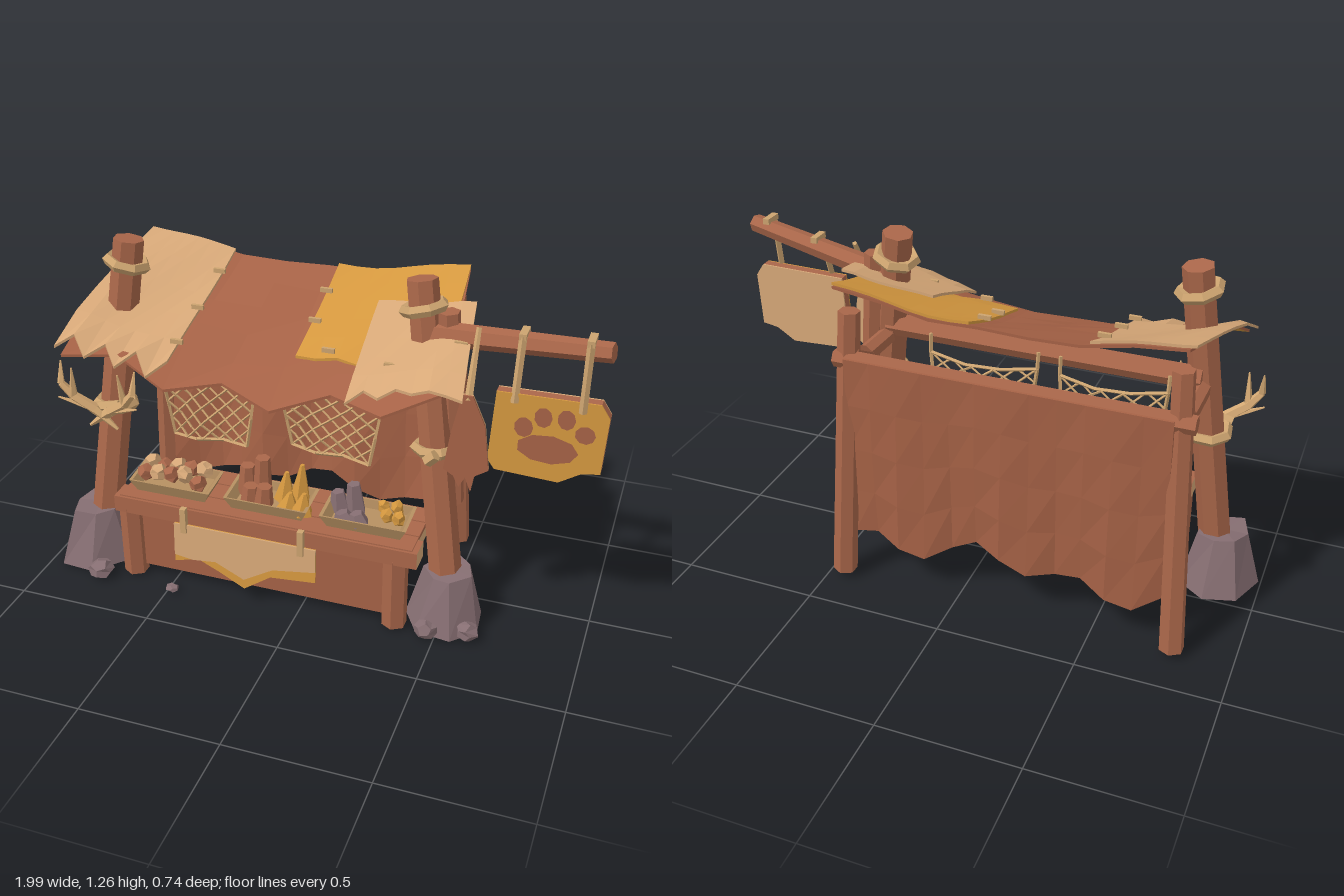
import * as THREE from 'three';

const V = (x, y, z) => new THREE.Vector3(x, y, z);
const mat = (name, color) => Object.assign(new THREE.MeshStandardMaterial({ color }), { name });

export function createModel() {
  const root = new THREE.Group();
  root.name = 'marketStall';
  const wood = mat('wood', 0xaa674a), cloth = mat('brownCloth', 0xa66246), hide = mat('paleHide', 0xd7a878);
  const gold = mat('goldCloth', 0xd5983f), stone = mat('stone', 0x866e72), rope = mat('rope', 0xcca36f);
  const straw = mat('straw', 0xb48e60), bone = mat('bone', 0xd6aa74);

  let seed = 7;
  const rnd = () => (seed = (seed * 16807) % 2147483647) / 2147483647;

  // Faceted mesh
  function add(name, geo, material, parent = root) {
    const g = geo.index ? geo.toNonIndexed() : geo;
    g.computeVertexNormals();
    const m = new THREE.Mesh(g, material);
    m.name = name;
    parent.add(m);
    return m;
  }
  // Tapered log between two points
  function beam(name, a, b, r0, r1 = r0, material = wood, sides = 6) {
    const m = add(name, new THREE.CylinderGeometry(r1, r0, a.distanceTo(b), sides), material);
    m.position.lerpVectors(a, b, 0.5);
    m.quaternion.setFromUnitVectors(V(0, 1, 0), b.clone().sub(a).normalize());
    return m;
  }
  function box(name, x0, x1, y0, y1, z0, z1, material) {
    const m = add(name, new THREE.BoxGeometry(x1 - x0, y1 - y0, z1 - z0), material);
    m.position.set((x0 + x1) / 2, (y0 + y1) / 2, (z0 + z1) / 2);
    return m;
  }
  // Flat outline with a thickness
  function plate(name, pts, z, depth, material, parent = root) {
    const shape = new THREE.Shape(pts.map(p => new THREE.Vector2(p[0], p[1])));
    const m = add(name, new THREE.ExtrudeGeometry(shape, { depth, bevelEnabled: false }), material, parent);
    m.position.z = z;
    return m;
  }
  // Move every vertex of a geometry by a rule
  function warp(geo, rule) {
    const p = geo.attributes.position, v = V(0, 0, 0);
    for (let i = 0; i < p.count; i++) {
      rule(v.fromBufferAttribute(p, i));
      p.setXYZ(i, v.x, v.y, v.z);
    }
    return geo;
  }
  function rock(name, x, y, z, r, material, h = r) {
    const a = rnd() * 6;
    const m = add(name, warp(new THREE.DodecahedronGeometry(1, 0),
      v => v.multiplyScalar(1 + 0.1 * Math.sin(v.x * 5 + v.y * 7 + v.z * 3 + a))), material);
    m.scale.set(r, h, r);
    m.rotation.y = a;
    m.position.set(x, y, z);
  }

  // Leaning front posts with rope bands and stone feet
  const posts = [[V(-0.83, 0.1, 0.15), V(-0.69, 1.25, 0.055)], [V(0.51, 0.1, 0.15), V(0.34, 1.225, 0.012)]];
  posts.forEach(([a, b], i) => {
    beam('frontPost', a, b, 0.06, 0.054, wood, 7);
    for (const [y, tilt] of i ? [[0.65, 0.1], [1.13, -0.12]] : [[0.63, -0.1], [1.165, 0.12]]) {
      const ring = add('postRope', new THREE.TorusGeometry(0.066, 0.021, 5, 7), rope);
      ring.position.lerpVectors(a, b, (y - a.y) / (b.y - a.y));
      ring.quaternion.setFromUnitVectors(V(0, 0, 1), b.clone().sub(a).normalize());
      ring.rotateY(tilt);
    }
    const foot = add('stoneFoot', warp(new THREE.CylinderGeometry(0.095, 0.158, 0.21, 7), v => {
      v.x += 0.012 * Math.sin(v.z * 40); v.y += 0.008 * Math.sin(v.x * 30) * (v.y > 0 ? 1 : 0);
    }), stone);
    foot.position.set(i ? 0.515 : -0.848, 0.105, 0.148);
    foot.scale.set(i ? 0.88 : 1.1, 1, 0.9);
    foot.rotation.y = i ? 0.3 : 1.2;
  });
  beam('ropeKnot', V(0.42, 0.64, 0.17), V(0.45, 0.67, 0.17), 0.022, 0.022, rope, 5);
  rock('looseStone', -0.77, 0.03, 0.32, 0.05, stone, 0.035);
  rock('looseStone', 0.61, 0.03, 0.24, 0.045, stone, 0.035);
  rock('looseStone', 0.47, 0.03, 0.28, 0.04, stone, 0.035);
  rock('looseStone', -0.48, 0.012, 0.325, 0.024, stone, 0.013);

  // Back posts, cross beams and bent side beams
  for (const [x0, x1, xf] of [[-0.79, -0.74, -0.74], [0.44, 0.39, 0.4]]) {
    beam('backPost', V(x0, 0.02, -0.33), V(x1, 1.05, -0.275), 0.044, 0.038);
    beam('sideBeam', V(xf, 0.82, 0.04), V(xf, 0.83, -0.16), 0.033);
    beam('sideBeam', V(xf, 0.82, -0.15), V(x1, 0.9, -0.29), 0.033);
  }
  beam('backRail', V(-0.8, 0.88, -0.3), V(0.44, 0.88, -0.3), 0.032);
  beam('frontRail', V(-0.74, 0.86, 0.04), V(0.4, 0.86, 0.04), 0.04);
  beam('shortPost', V(0.49, 0.42, 0.035), V(0.44, 1.13, 0.03), 0.038);

  // Back curtain with folds and a ragged hem
  add('backCurtain', warp(new THREE.BoxGeometry(1, 1, 0.01, 12, 4, 1), v => {
    const u = v.x + 0.5, t = 0.5 - v.y;
    v.x = -0.735 + 1.13 * u + 0.015 * t * u;
    v.y = 0.895 - t * (0.71 + 0.035 * Math.sin(u * 19) + 0.03 * Math.sin(u * 9));
    v.z += -0.328 + t * (0.024 + 0.026 * Math.sin(u * 19 + t * 2));
  }), cloth);

  // Sagging roof, made of overlapping sheets with gold undersides
  const roofY = (x, z) => {
    const t = (z + 0.31) / 0.64, sag = Math.max(0, 1 - ((x + 0.17) / 0.62) ** 2);
    return 1.147 - 0.067 * sag - t * (0.2 + 0.018 * sag) + 0.008 * Math.sin(x * 14 + z * 9);
  };
  function roofSheet(name, x0, x1, z0, z1, lift, top, jag, flare0 = 0, flare1 = 0) {
    add(name, warp(new THREE.BoxGeometry(1, 0.01, 1, 7, 1, 5), v => {
      const u = v.x + 0.5, t = v.z + 0.5, h = v.y;
      const ragged = t > 0.99 ? jag * Math.sin(u * 21 + x0 * 5) : 0;
      v.x = x0 + (x1 - x0) * u + t * (flare0 * (1 - u) + flare1 * u);
      v.z = z0 + (z1 - z0) * t + ragged;
      v.y = roofY(v.x, v.z) + h + lift - (t > 0.99 ? 0.4 * jag + 0.5 * ragged : 0);
    }), [top, top, top, gold, top, top]);
  }
  roofSheet('roofCloth', -0.76, 0.43, -0.31, 0.32, 0, cloth, 0.035, -0.07, 0.07);
  roofSheet('paleRoofPatch', -0.78, -0.45, -0.31, 0.31, 0.014, hide, 0.03, -0.08, -0.01);
  roofSheet('goldRoofPatch', -0.05, 0.43, -0.31, 0.15, 0.014, gold, 0.01, 0, 0.03);
  roofSheet('paleRoofPatch', 0.16, 0.5, -0.11, 0.31, 0.028, hide, 0.025, 0.02, 0.06);
  for (const [x, z] of [[-0.46, -0.18], [-0.46, 0.02], [-0.46, 0.2], [-0.05, -0.17], [-0.04, -0.02], [0.06, 0.13], [0.29, 0.18], [0.5, 0.1]])
    box('stitch', x - 0.022, x + 0.022, roofY(x, z) + 0.02, roofY(x, z) + 0.036, z - 0.006, z + 0.006, rope);

  // Counter: two rails with pale cut ends, planks between them
  const cutEnds = [hide, hide, wood, wood, wood, wood];
  box('backCounterRail', -0.71, 0.43, 0.277, 0.338, 0, 0.075, cutEnds);
  box('frontCounterRail', -0.71, 0.43, 0.277, 0.34, 0.2, 0.285, cutEnds);
  box('counterUnderside', -0.69, 0.41, 0.283, 0.33, 0.07, 0.205, hide);
  for (let i = 0; i < 3; i++) box('counterPlank', -0.69, 0.41, 0.328, 0.345, 0.003 + i * 0.093, 0.09 + i * 0.093, wood);
  box('counterPanel', -0.64, 0.38, 0.03, 0.285, 0.225, 0.24, cloth);
  for (const x of [-0.665, 0.345]) beam('counterLeg', V(x, 0, 0.24), V(x, 0.29, 0.24), 0.046);
  // Drape leaning slightly forward at its hem
  const drape = new THREE.Group();
  drape.name = 'drape';
  drape.position.set(0, 0.28, 0.287);
  drape.rotation.x = -0.06;
  root.add(drape);
  plate('goldDrape', [[-0.47, 0], [-0.47, -0.16], [-0.38, -0.135], [-0.3, -0.17], [-0.2, -0.22], [-0.1, -0.15], [0.07, -0.135], [0.07, 0]], 0, 0.005, gold, drape);
  plate('paleDrape', [[-0.47, 0], [-0.47, -0.13], [-0.4, -0.14], [-0.31, -0.13], [-0.2, -0.18], [-0.09, -0.115], [0.07, -0.09], [0.07, 0]], 0.004, 0.006, hide, drape);
  for (const x of [-0.43, 0.015]) box('drapeTie', x - 0.011, x + 0.011, 0.25, 0.35, 0.284, 0.306, rope);

  // Trays of goods
  const rim = [[0, 0], [0.185, 0], [0.222, 0.052], [0.205, 0.052], [0.175, 0.02], [0, 0.02]].map(p => new THREE.Vector2(...p));
  for (const x of [-0.51, -0.14, 0.22]) {
    const tray = add('tray', new THREE.LatheGeometry(rim, 4, Math.PI / 4), straw);
    tray.scale.z = 0.46;
    tray.position.set(x, 0.347, 0.165);
    tray.rotation.x = 0.1;
  }
  for (let i = 0; i < 10; i++)
    rock('lump', -0.62 + 0.052 * (i % 5), 0.395 + rnd() * 0.035, 0.135 + 0.06 * Math.floor(i / 5), 0.033, i % 2 ? wood : hide);
  for (const [dx, z, top] of [[0, 0.14, 0.48], [0.055, 0.13, 0.515], [0.03, 0.19, 0.43], [0.085, 0.195, 0.44]]) {
    beam('jar', V(dx - 0.245, 0.36, z), V(dx - 0.24, top, z), 0.036, 0.027);
    beam('goldCone', V(dx - 0.1, 0.36, z), V(dx - 0.09, top, z), 0.042, 0.008, gold, 5);
    beam('crystal', V(dx + 0.11, 0.36, z), V(dx + 0.1, top - 0.04, z), 0.04, 0.024, stone, 5);
    rock('nugget', 0.27 + dx * 0.8, 0.41, z, 0.024, gold, 0.03);
  }

  // Hanging nets: corners top left, top right, bottom left, bottom right
  for (const c of [[[-0.64, 0.81], [-0.26, 0.8], [-0.6, 0.46], [-0.3, 0.47]], [[-0.18, 0.81], [0.22, 0.8], [-0.13, 0.5], [0.17, 0.48]]]) {
    const at = (u, t) => {
      const mix = k => (c[0][k] * (1 - u) + c[1][k] * u) * (1 - t) + (c[2][k] * (1 - u) + c[3][k] * u) * t;
      return V(mix(0), mix(1) - 0.03 * Math.sin(u * Math.PI) * (1 - t), -0.01 + 0.012 * Math.sin(u * 9 + t * 5));
    };
    const cord = (a, b, r = 0.0045) => {
      for (let k = 0; k < 3; k++) {
        const p = s => at(a[0] + (b[0] - a[0]) * s, a[1] + (b[1] - a[1]) * s);
        beam('netCord', p(k / 3), p((k + 1) / 3), r, r, rope, 4);
      }
    };
    const n = 5;
    for (let i = 1 - n; i < n; i++) {
      const lo = Math.max(0, i / n), hi = Math.min(1, 1 + i / n);
      cord([lo, lo - i / n], [hi, hi - i / n]);
      cord([1 - lo, lo - i / n], [1 - hi, hi - i / n]);
    }
    [[0, 0, 1, 0], [0, 1, 1, 1], [0, 0, 0, 1], [1, 0, 1, 1]].forEach(e => cord([e[0], e[1]], [e[2], e[3]], 0.007));
    for (const u of [0, 1]) beam('netTie', at(u, 0), V(at(u, 0).x, 0.87, 0), 0.007, 0.007, rope, 4);
  }

  // Antlers tied to the post
  for (const s of [-1, 1]) {
    const p = (x, y, z) => V(-0.772 + s * x, y, z);
    const spine = [p(-0.055, 0.57, 0.2), p(0.03, 0.64, 0.2), p(0.1, 0.69, 0.22), p(0.14, 0.74, 0.23), p(0.145, 0.82, 0.21)];
    [0.006, 0.021, 0.018, 0.014, 0.003].forEach((r, i, radii) => {
      if (i < 4) beam('antler', spine[i], spine[i + 1], r, radii[i + 1], bone, 5);
    });
    for (const [i, x, y] of [[2, 0.09, 0.81], [1, 0.155, 0.685]])
      beam('antlerTine', spine[i], p(x, y, 0.235), 0.016, 0.003, bone, 5);
  }
  beam('antlerTie', V(-0.83, 0.63, 0.18), V(-0.71, 0.66, 0.18), 0.022, 0.022, rope, 5);

  // Sign pole, board and painted paw
  beam('signPole', V(0.35, 1.045, 0.03), V(0.985, 1.12, 0.145), 0.043, 0.033);
  const board = [[0.625, 0.7], [0.65, 0.665], [0.86, 0.655], [0.93, 0.7], [0.99, 0.71], [1, 0.91], [0.97, 0.955], [0.64, 0.95]];
  plate('signBack', board, 0.142, 0.006, hide);
  plate('signBoard', board, 0.148, 0.032, wood);
  plate('signFace', board, 0.18, 0.005, gold);
  for (const [x, y, w, h] of [[0.815, 0.77, 0.1, 0.052], [0.735, 0.838, 0.031, 0.036], [0.795, 0.882, 0.029, 0.036], [0.868, 0.886, 0.029, 0.036], [0.93, 0.842, 0.033, 0.032]]) {
    const pad = add('pawPad', new THREE.CircleGeometry(1, 9), cloth);
    pad.scale.set(w, h, 1);
    pad.position.set(x, y, 0.187);
  }
  for (const [x, y, z] of [[0.7, 1.086, 0.093], [0.915, 1.112, 0.132]]) {
    beam('signStrap', V(x, y + 0.035, z + 0.03), V(x, 0.92, 0.19), 0.013, 0.013, rope, 4);
    box('strapLoop', x - 0.012, x + 0.012, y + 0.025, y + 0.046, z - 0.03, z + 0.04, rope);
  }

  // Ragged pennant hanging beside the post
  const rag = [[0.54, 0.94], [0.51, 0.8], [0.49, 0.66], [0.525, 0.64], [0.545, 0.6], [0.565, 0.64], [0.585, 0.59], [0.595, 0.65], [0.64, 0.68], [0.62, 0.84], [0.575, 0.94]];
  plate('pennantFront', rag, 0.222, 0.007, cloth);
  plate('pennantBack', rag, 0.216, 0.006, hide);
  beam('pennantCord', V(0.56, 0.92, 0.222), V(0.555, 1.12, 0.1), 0.014, 0.009, rope, 5);
  return root;
}
